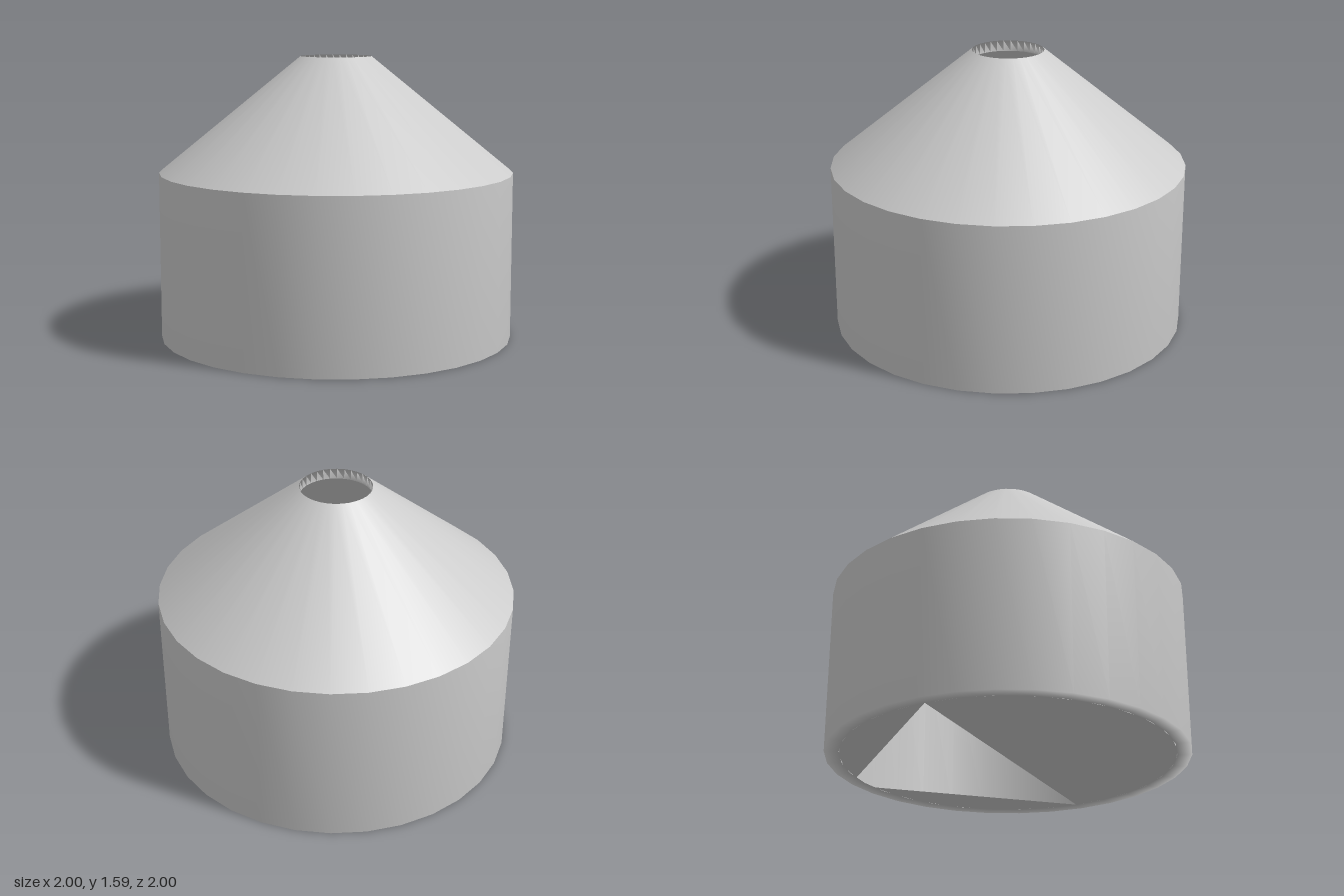
import * as THREE from 'three';

const R = 1, INNER = 0.92, NECK = 0.2;
const EAVE = 0.94, TOP = 1.59, LIP = 1.53;
const INNER_SIDES = 30;

const material = new THREE.MeshStandardMaterial({ color: 0xcccccc, side: THREE.DoubleSide });

export function createModel() {
  const group = new THREE.Group();

  const add = (name, geometry) => {
    const mesh = new THREE.Mesh(geometry, material);
    mesh.name = name;
    group.add(mesh);
  };
  const lathe = (name, profile, sides, start = 0) =>
    add(name, new THREE.LatheGeometry(profile.map(([x, y]) => new THREE.Vector2(x, y)), sides, start));

  // Outer shell: wall rounded by its normals into the bottom rim, cone into the neck lip
  lathe('outerWall', [[INNER, 0], [R, 0], [R, EAVE]], 32);
  lathe('outerCone', [[R, EAVE], [NECK, TOP], [NECK, LIP]], 32);

  // Inner shell
  lathe('innerCone', [[NECK, LIP], [INNER, EAVE]], 32);
  lathe('innerWall', [[INNER, EAVE], [INNER, 0]], INNER_SIDES, Math.PI / 2);

  // Floor: front half and two chord segments, leaving a four-sided opening at the back
  const floorPart = (name, from, to) => {
    const points = [];
    for (let i = from; i <= to; i++) {
      const a = (i / INNER_SIDES) * Math.PI * 2;
      points.push(new THREE.Vector2(INNER * Math.cos(a), INNER * Math.sin(a)));
    }
    add(name, new THREE.ShapeGeometry(new THREE.Shape(points)).rotateX(Math.PI / 2));
  };
  floorPart('floorFront', 0, 15);
  floorPart('floorBackRight', 15, 22);
  floorPart('floorBackLeft', 23, 30);

  return group;
}
